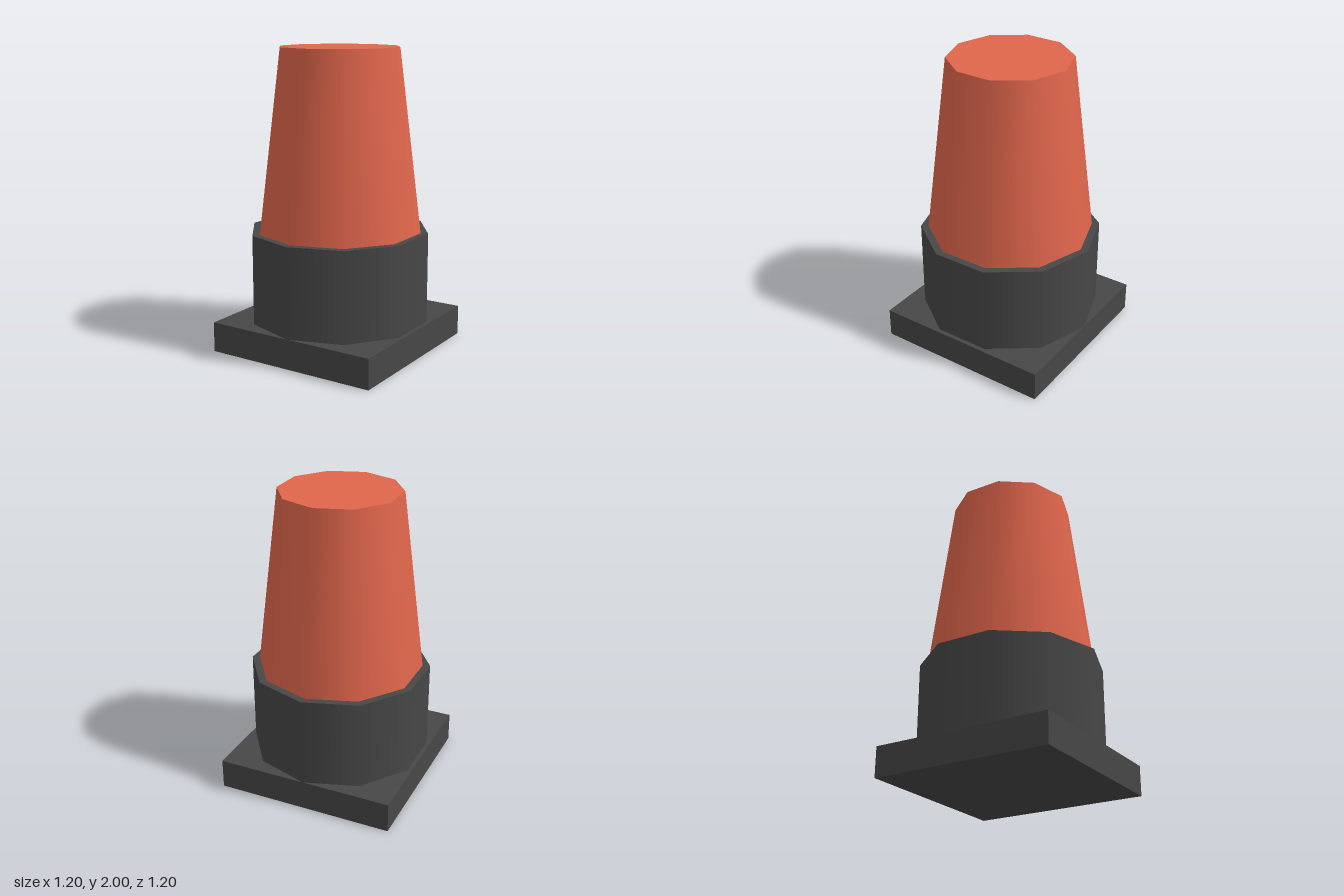
import * as THREE from 'three';

export function createModel() {
  const model = new THREE.Group();
  const orange = new THREE.MeshStandardMaterial({ name: 'orange', color: 0xe0664c });
  const charcoal = new THREE.MeshStandardMaterial({ name: 'charcoal', color: 0x474747 });

  const add = (name, geometry, material, y) => {
    const mesh = new THREE.Mesh(geometry, material);
    mesh.name = name;
    mesh.position.y = y;
    model.add(mesh);
  };

  // Square foot plate
  add('basePlate', new THREE.BoxGeometry(1.2, 0.2, 1.2), charcoal, 0.1);
  // Ten-sided collar, a corner facing front
  add('collar', new THREE.CylinderGeometry(0.6, 0.6, 0.6, 10), charcoal, 0.5);
  // Tapered, flat-topped body standing on the collar
  add('taperedBody', new THREE.CylinderGeometry(0.4, 0.55, 1.2, 10), orange, 1.4);

  return model;
}
